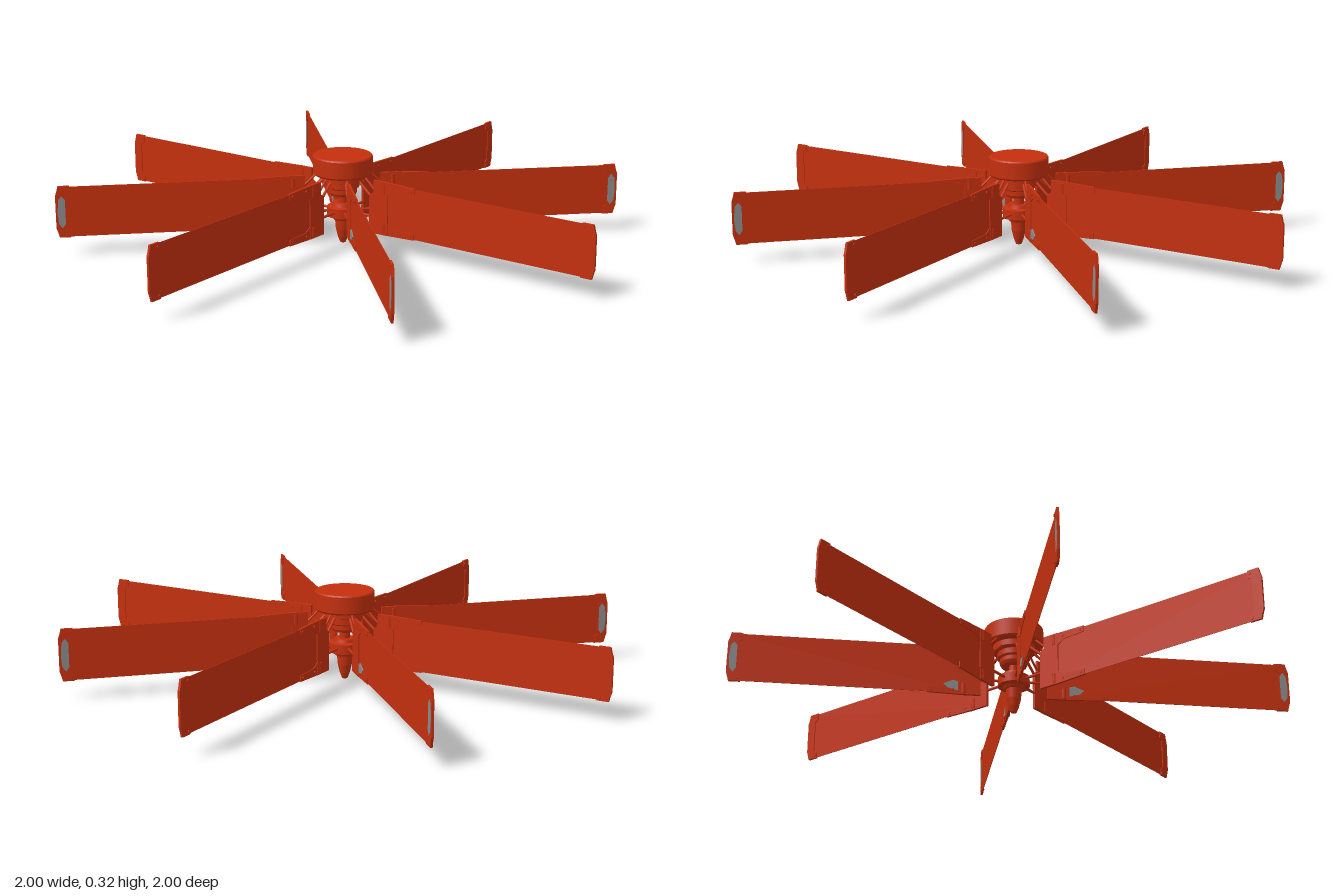
import * as THREE from 'three';

const red = new THREE.MeshStandardMaterial({ color: 0xc4300e });
red.name = 'redPaint';
const grey = new THREE.MeshStandardMaterial({ color: 0x8a8a8a });
grey.name = 'bareMetal';

function mesh(name, geometry, material = red) {
  const m = new THREE.Mesh(geometry, material);
  m.name = name;
  return m;
}

// Flat plate in the blade plane, centred on z = 0
function plate(name, points, depth, material = red) {
  const shape = new THREE.Shape(points.map(([x, y]) => new THREE.Vector2(x, y)));
  const g = new THREE.ExtrudeGeometry(shape, { depth, bevelEnabled: false });
  g.translate(0, 0, -depth / 2);
  return mesh(name, g, material);
}

// Straight round bar between two points
function rod(name, a, b, radius) {
  const from = new THREE.Vector3(...a), to = new THREE.Vector3(...b);
  const g = new THREE.CylinderGeometry(radius, radius, from.distanceTo(to), 8);
  const m = mesh(name, g);
  m.position.copy(from).add(to).multiplyScalar(0.5);
  m.quaternion.setFromUnitVectors(new THREE.Vector3(0, 1, 0), to.sub(from).normalize());
  return m;
}

// Turned part with hard edges between its bands
function turned(name, profile) {
  const group = new THREE.Group();
  group.name = name;
  for (let i = 0; i < profile.length - 1; i++) {
    const band = profile.slice(i, i + 2).map(([r, y]) => new THREE.Vector2(r, y));
    group.add(mesh(name + 'Band', new THREE.LatheGeometry(band, 40)));
  }
  return group;
}

function hub() {
  const group = new THREE.Group();
  group.name = 'hub';
  group.add(turned('motorHousing', [
    [0, 0.18], [0.045, 0.18], [0.05, 0.19], [0.05, 0.205], [0.058, 0.21], [0.058, 0.23],
    [0.075, 0.235], [0.075, 0.256], [0.1, 0.256], [0.105, 0.262], [0.105, 0.32], [0.101, 0.325], [0, 0.325]
  ]));
  group.add(turned('shaft', [[0.018, 0.14], [0.018, 0.185]]));
  group.add(turned('lowerCollar', [
    [0, 0.09], [0.034, 0.09], [0.04, 0.1], [0.056, 0.103], [0.056, 0.137], [0.04, 0.14], [0.036, 0.152], [0, 0.152]
  ]));
  group.add(turned('noseCone', [
    [0, 0], [0.01, 0.004], [0.018, 0.025], [0.025, 0.055], [0.028, 0.09]
  ]));
  return group;
}

function bladeArm(diagonal) {
  const group = new THREE.Group();
  group.name = 'bladeArm';

  // Thin paddle
  group.add(plate('blade', [[0.16, 0.068], [0.99, 0.068], [0.99, 0.247], [0.16, 0.247]], 0.002));

  // Bowed end cap with a recess on its inner edge
  group.add(plate('tipCap', [
    [0.95, 0.066], [0.99, 0.066], [0.995, 0.085], [1, 0.1], [1, 0.215], [0.995, 0.23],
    [0.99, 0.25], [0.95, 0.25], [0.95, 0.225], [0.965, 0.215], [0.965, 0.1], [0.95, 0.09]
  ], 0.008));

  // Root clamp: tall inner plate and two fingers along the blade
  group.add(plate('rootPlate', [
    [0.118, 0.062], [0.195, 0.062], [0.195, 0.254], [0.135, 0.254], [0.135, 0.21], [0.118, 0.2]
  ], 0.01));
  group.add(plate('upperFinger', [[0.19, 0.205], [0.22, 0.225], [0.305, 0.228], [0.305, 0.25], [0.19, 0.254]], 0.008));
  group.add(plate('lowerFinger', [[0.19, 0.062], [0.305, 0.066], [0.305, 0.088], [0.22, 0.091], [0.19, 0.11]], 0.008));
  for (const y of [0.085, 0.23]) {
    group.add(rod('hingePin', [0.178, y - 0.018, 0], [0.178, y + 0.018, 0], 0.009));
  }

  // Rivets through the clamp and the end cap
  for (const x of [0.215, 0.29, 0.958]) {
    for (const y of [0.077, 0.238]) {
      group.add(rod('rivet', [x, y, -0.007], [x, y, 0.007], 0.005));
    }
  }

  // Struts to the hub
  group.add(rod('lowerStrut', [0.045, 0.122, 0], [0.18, 0.122, 0], 0.005));
  group.add(rod('upperStrut', [0.065, 0.243, 0], [0.125, 0.19, 0], 0.005));
  group.add(rod('middleStrut', [0.095, 0.258, 0], [0.14, 0.215, 0], 0.004));

  // Worn metal patches
  if (diagonal) {
    group.add(plate('tipWear', [
      [0.967, 0.115], [0.978, 0.1], [0.99, 0.115], [0.994, 0.155], [0.99, 0.2], [0.978, 0.215], [0.967, 0.2]
    ], 0.0095, grey));
    group.add(plate('rootWear', [[0.197, 0.075], [0.235, 0.085], [0.25, 0.1], [0.215, 0.115], [0.197, 0.11]], 0.0095, grey));
  }
  return group;
}

export function createModel() {
  const model = new THREE.Group();
  model.name = 'ceilingRotor';
  model.add(hub());
  for (let i = 0; i < 8; i++) {
    const arm = bladeArm(i % 2 === 1);
    arm.rotation.y = (i * Math.PI) / 4;
    model.add(arm);
  }
  return model;
}
